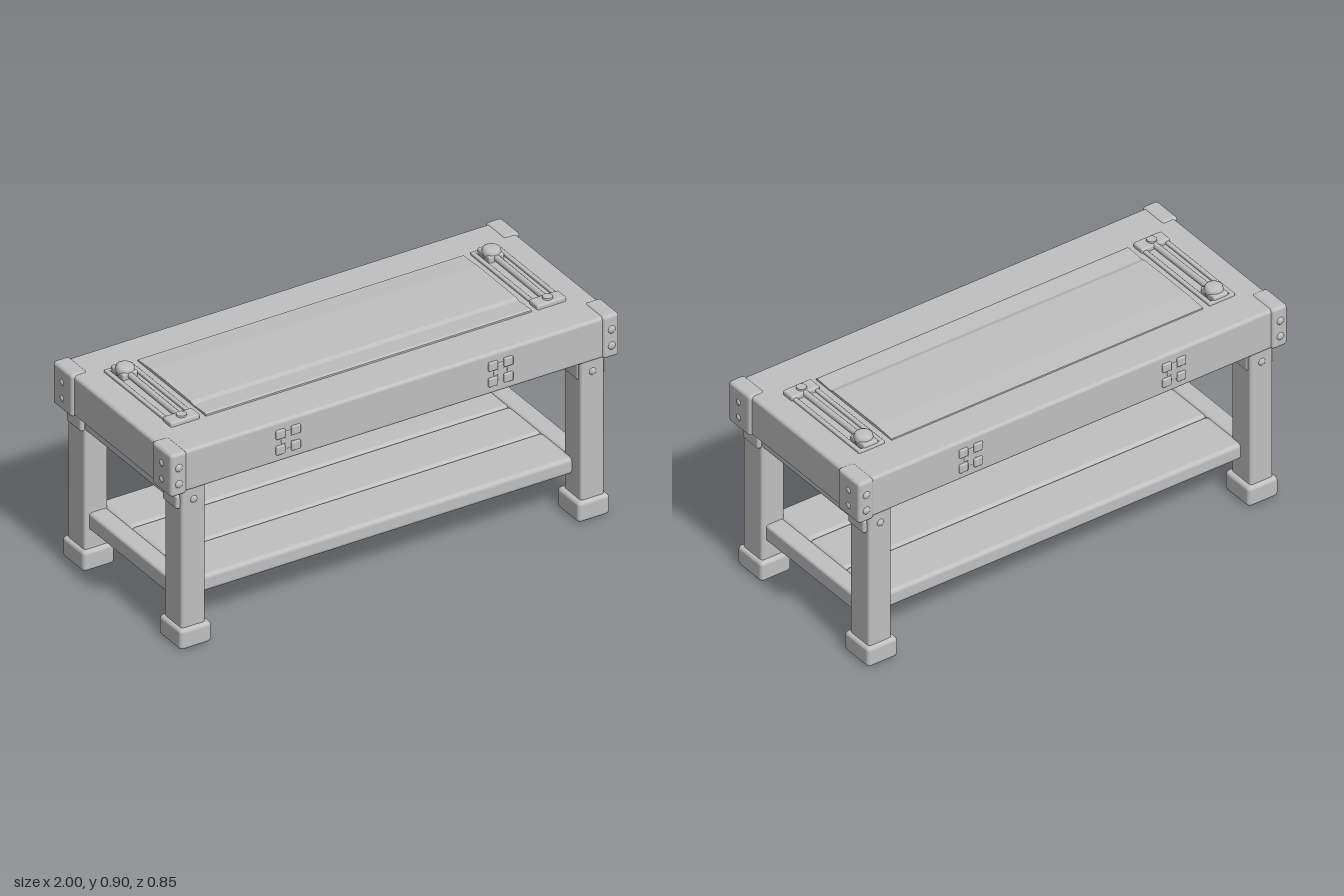
import * as THREE from 'three';
import { RoundedBoxGeometry } from 'three/addons/geometries/RoundedBoxGeometry.js';

export function createModel() {
  const bench = new THREE.Group();
  bench.name = 'workbench';
  const grey = new THREE.MeshStandardMaterial({ color: 0xc0c0c0 });
  grey.name = 'plain grey';

  function add(name, geometry, x = 0, y = 0, z = 0) {
    const mesh = new THREE.Mesh(geometry, grey);
    mesh.name = name;
    mesh.position.set(x, y, z);
    bench.add(mesh);
    return mesh;
  }

  // Rounded box given by its limits on each axis
  function block(name, [x0, x1], [y0, y1], [z0, z1], r = 0.01) {
    const w = Math.abs(x1 - x0), h = y1 - y0, d = Math.abs(z1 - z0);
    const radius = Math.min(r, w * 0.45, h * 0.45, d * 0.45);
    return add(name, new RoundedBoxGeometry(w, h, d, 2, radius),
      (x0 + x1) / 2, (y0 + y1) / 2, (z0 + z1) / 2);
  }

  // Domed rivet facing along one axis
  function rivet(name, x, y, z, r, axis, sign) {
    const mesh = add(name, new THREE.SphereGeometry(r, 12, 8), x, y, z);
    mesh.scale[axis] = 0.6;
    mesh.position[axis] -= sign * 0.002;
  }

  // Thick table top with a slightly raised lid
  block('tableTop', [-0.98, 0.98], [0.68, 0.857], [-0.408, 0.408], 0.014);
  const lidShape = new THREE.Shape();
  [[-0.23, 0.85], [0.25, 0.85], [0.25, 0.863], [0.15, 0.869], [-0.12, 0.868], [-0.14, 0.862], [-0.22, 0.867], [-0.23, 0.864]]
    .forEach(([u, v], i) => (i ? lidShape.lineTo(u, v) : lidShape.moveTo(u, v)));
  const lid = add('lid', new THREE.ExtrudeGeometry(lidShape, { depth: 1.44, bevelEnabled: false }), -0.72, 0, 0);
  lid.rotation.y = Math.PI / 2;

  for (const sx of [-1, 1]) {
    for (const sz of [-1, 1]) {
      // Leg, foot and the short bearing block under the top
      block('leg', [sx * 0.83, sx * 0.935], [0.05, 0.69], [sz * 0.28, sz * 0.402], 0.012);
      block('foot', [sx * 0.81, sx * 0.95], [0, 0.088], [sz * 0.263, sz * 0.418], 0.016);
      block('legCollar', [sx * 0.915, sx * 0.95], [0.6, 0.66], [sz * 0.285, sz * 0.388], 0.01);
      rivet('legBolt', sx * 0.882, 0.635, sz * 0.402, 0.016, 'z', sz);

      // Metal corner bracket with rivets
      block('cornerBracket', [sx * 0.92, sx * 0.992], [0.678, 0.862], [sz * 0.28, sz * 0.417], 0.014);
      for (const y of [0.73, 0.8]) {
        rivet('frontRivet', sx * 0.957, y, sz * 0.417, 0.017, 'z', sz);
        rivet('sideRivet', sx * 0.992, y, sz * 0.35, 0.014, 'x', sx);
      }

      // Butterfly joint on the long side
      const cx = sx * 0.47, z0 = sz * 0.402;
      for (const dx of [-0.034, 0.034])
        for (const y of [0.734, 0.802])
          block('jointTab', [cx + dx - 0.02, cx + dx + 0.02], [y - 0.019, y + 0.019], [z0, sz * 0.417], 0.005);
      block('jointBar', [cx - 0.03, cx + 0.03], [0.757, 0.779], [z0, sz * 0.412], 0.004);
      block('jointPost', [cx - 0.014, cx + 0.014], [0.73, 0.806], [z0, sz * 0.412], 0.004);
    }

    // End rails below the top and at shelf height
    block('upperEndRail', [sx * 0.825, sx * 0.93], [0.598, 0.678], [-0.39, 0.39], 0.016);
    block('lowerEndRail', [sx * 0.835, sx * 0.915], [0.168, 0.242], [-0.29, 0.29], 0.012);

    // Sliding clamp: two guide rails, a rod, an end block and a knob
    const c = sx * 0.81;
    for (const s of [-1, 1])
      block('clampRail', [c + s * 0.042, c + s * 0.06], [0.85, 0.868], [-0.25, 0.225], 0.005);
    block('clampBackBar', [c - 0.06, c + 0.06], [0.85, 0.868], [-0.25, -0.235], 0.005);
    block('clampFrontBlock', [c - 0.065, c + 0.065], [0.85, 0.876], [0.17, 0.232], 0.008);
    const path = new THREE.LineCurve3(new THREE.Vector3(c, 0.866, 0.2), new THREE.Vector3(c, 0.87, -0.2));
    add('clampRod', new THREE.TubeGeometry(path, 1, 0.013, 10));
    add('clampPivot', new THREE.CylinderGeometry(0.02, 0.024, 0.03, 16), c, 0.868, 0.2);
    block('clampHead', [c - 0.034, c + 0.034], [0.85, 0.882], [-0.245, -0.155], 0.008);
    const knobProfile = [[0, 0.86], [0.034, 0.86], [0.038, 0.88], [0.034, 0.895], [0.025, 0.9], [0, 0.9]]
      .map(([r, y]) => new THREE.Vector2(r, y));
    add('clampKnob', new THREE.LatheGeometry(knobProfile, 20), c, 0, -0.195);
  }

  // Lower shelf of three rounded planks
  const plank = 0.68 / 3;
  for (let i = 0; i < 3; i++) {
    const z = -0.34 + i * plank;
    block('shelfPlank', [-0.84, 0.84], [0.17, 0.242], [z, z + plank], 0.018);
  }
  return bench;
}
